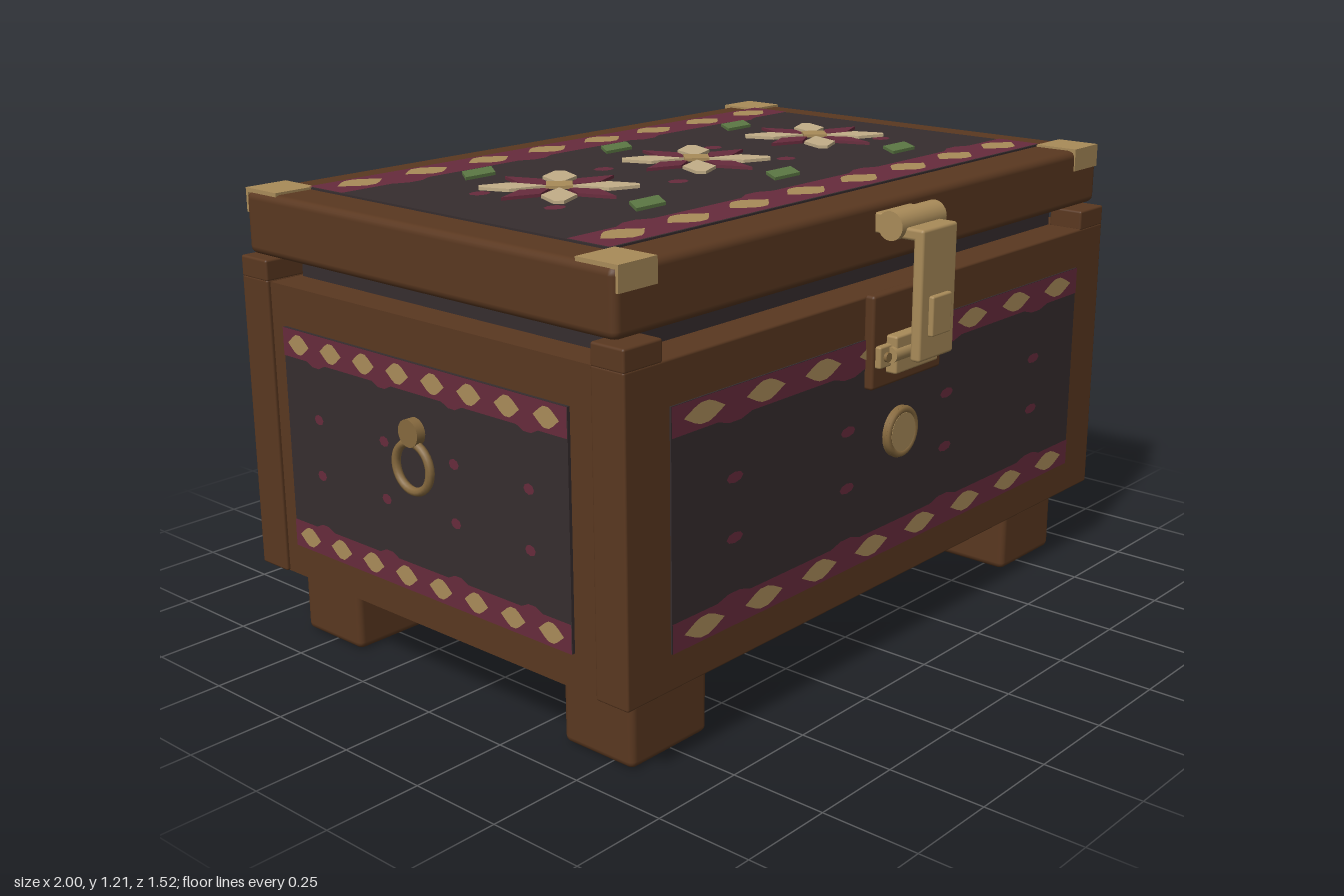
import * as THREE from 'three';
import { RoundedBoxGeometry } from 'three/addons/geometries/RoundedBoxGeometry.js';

const mat = (name, color, side = THREE.FrontSide) => {
  const m = new THREE.MeshStandardMaterial({ color, side });
  m.name = name;
  return m;
};

export function createModel() {
  const wood = mat('wood', 0x5a3820);
  const charcoal = mat('charcoal', 0x362d2e);
  const maroon = mat('maroon', 0x672b3c);
  const brass = mat('brass', 0xa98b59);
  const darkBrass = mat('darkBrass', 0x86693e);
  const cream = mat('cream', 0xc2ae88);
  const green = mat('green', 0x5c7844);

  const model = new THREE.Group();
  model.name = 'chest';

  const add = (name, geo, material, parent = model) => {
    const mesh = new THREE.Mesh(geo, material);
    mesh.name = name;
    parent.add(mesh);
    return mesh;
  };
  // Box given by its limits on each axis, with optional rounded edges
  const box = (name, material, [x0, x1], [y0, y1], [z0, z1], r = 0) => {
    const s = [x1 - x0, y1 - y0, z1 - z0];
    const geo = r ? new RoundedBoxGeometry(...s, 2, r) : new THREE.BoxGeometry(...s);
    const mesh = add(name, geo, material);
    mesh.position.set((x0 + x1) / 2, (y0 + y1) / 2, (z0 + z1) / 2);
    return mesh;
  };
  const cylinder = (name, material, r, len, axis, x, y, z) => {
    const geo = new THREE.CylinderGeometry(r, r, len, 24);
    if (axis === 'x') geo.rotateZ(Math.PI / 2);
    if (axis === 'z') geo.rotateX(Math.PI / 2);
    const mesh = add(name, geo, material);
    mesh.position.set(x, y, z);
    return mesh;
  };
  const shape = pts => new THREE.Shape(pts.map(p => new THREE.Vector2(...p)));

  // Feet and base
  for (const x of [[-0.89, -0.63], [0.655, 0.91]])
    for (const z of [[0.348, 0.568], [-0.613, -0.393]])
      box('foot', wood, x, [0, 0.168], z, 0.018);
  box('base', wood, [-0.885, 0.905], [0.165, 0.21], [-0.58, 0.565]);

  // Body walls, corner caps and inner rim
  box('frontWall', wood, [-0.97, 0.99], [0.197, 0.97], [0.535, 0.633], 0.006);
  box('backWall', wood, [-0.97, 0.99], [0.197, 0.97], [-0.678, -0.576], 0.006);
  box('sideWalls', wood, [-0.96, 0.98], [0.197, 0.965], [-0.58, 0.54]);
  box('innerRim', charcoal, [-0.87, 0.89], [0.9, 1.012], [-0.564, 0.52]);
  for (const x of [[-0.97, -0.85], [0.87, 0.99]])
    for (const z of [[0.535, 0.633], [-0.678, -0.576]])
      box('cornerCap', wood, x, [0.965, 1.02], z, 0.006);

  // Lid with brass corners
  box('lid', wood, [-0.965, 0.99], [1.027, 1.185], [-0.65, 0.605], 0.02);
  for (const x of [[-0.957, -0.837], [0.863, 0.983]])
    for (const [z, face] of [[[0.485, 0.608], [0.6, 0.608]], [[-0.655, -0.535], [-0.655, -0.647]]]) {
      box('lidCornerTop', brass, x, [1.18, 1.191], z);
      box('lidCornerFace', brass, x, [1.13, 1.191], face);
    }

  // Painted panel, drawn in a unit square and scaled to size
  const edge = [[-0.5, -0.5], [0.5, -0.5], [0.5, -0.375]];
  for (const c of [0.375, 0.125, -0.125, -0.375])
    edge.push([c + 0.035, -0.375], [c + 0.012, -0.356], [c - 0.012, -0.356], [c - 0.035, -0.375]);
  edge.push([-0.5, -0.375]);
  const borderGeo = new THREE.ShapeGeometry(shape(edge));
  const lozengeGeo = new THREE.ShapeGeometry(shape(
    [[1, 0], [0.5, 0.7], [0.2, 1], [-0.2, 1], [-0.5, 0.7], [-1, 0], [-0.5, -0.7], [-0.2, -1], [0.2, -1], [0.5, -0.7]]));
  const dotGeo = new THREE.CircleGeometry(1, 8);

  const panel = (name, w, h, pos, rot) => {
    const g = new THREE.Group();
    g.name = name;
    g.position.set(...pos);
    g.rotation.set(...rot);
    g.scale.set(w, h, 1);
    model.add(g);
    add('field', new THREE.BoxGeometry(1, 1, 0.008), charcoal, g).position.z = -0.004;
    for (const s of [-1, 1]) {
      const border = add('border', borderGeo, maroon, g);
      border.position.z = 0.002;
      if (s > 0) border.rotation.z = Math.PI;
      for (let i = 0; i < 8; i++) {
        const loz = add('lozenge', lozengeGeo, brass, g);
        loz.position.set((i - 3.5) / 8, s * 0.438, 0.004);
        loz.scale.set(0.041, 0.043, 1);
      }
      for (let i = 0; i < 4; i++) {
        const dot = add('dot', dotGeo, maroon, g);
        dot.position.set((i - 1.5) / 4, s * 0.126, 0.002);
        dot.scale.set(0.017, 0.023, 1);
      }
    }
  };
  const H = Math.PI / 2;
  panel('frontPanel', 1.685, 0.575, [0.012, 0.577, 0.637], [0, 0, 0]);
  panel('backPanel', 1.685, 0.575, [0.012, 0.577, -0.682], [0, Math.PI, 0]);
  panel('rightPanel', 0.985, 0.575, [0.995, 0.577, -0.022], [0, H, 0]);
  panel('leftPanel', 0.985, 0.575, [-0.975, 0.577, -0.022], [0, -H, 0]);
  panel('lidPanel', 1.725, 1.025, [0.012, 1.19, -0.03], [-H, 0, 0]);

  // Raised flowers and leaves on the lid
  const plate = pts => new THREE.ExtrudeGeometry(shape(pts), { depth: 0.008, bevelEnabled: false }).rotateX(-H);
  const petalGeo = plate([[0.03, 0], [0.1, -0.037], [0.192, 0], [0.1, 0.037]]);
  const creamGeo = plate([[0.03, 0], [0.12, -0.043], [0.195, -0.012], [0.195, 0.012], [0.12, 0.043]]);
  const centreGeo = plate([[0.046, 0], [0, 0.046], [-0.046, 0], [0, -0.046]]);
  const leafGeo = plate([[-0.075, -0.036], [0.025, -0.036], [0.075, 0.034], [-0.025, 0.034]]);
  for (const x of [-0.492, 0.012, 0.517]) {
    const flower = new THREE.Group();
    flower.name = 'flower';
    flower.position.set(x, 1.198, -0.03);
    model.add(flower);
    for (let i = 0; i < 4; i++) {
      add('petal', petalGeo, maroon, flower).rotation.y = i * H;
      const p = add('creamPetal', creamGeo, cream, flower);
      p.rotation.y = (i + 0.5) * H;
      p.position.y = 0.002;
    }
    add('flowerCentre', centreGeo, brass, flower).position.y = 0.006;
    for (const z of [-0.29, 0.29]) add('leaf', leafGeo, green, flower).position.z = z;
  }

  // Latch: backing block, catch, hasp and barrel
  box('latchBacking', wood, [-0.135, 0.157], [0.74, 0.975], [0.63, 0.66], 0.008);
  box('catch', brass, [-0.08, 0.1], [0.775, 0.87], [0.655, 0.69], 0.006);
  for (const x of [-0.1, 0.122]) {
    box('catchEar', brass, [x - 0.025, x + 0.025], [0.795, 0.85], [0.655, 0.675], 0.005);
    cylinder('rivet', darkBrass, 0.012, 0.012, 'z', x, 0.822, 0.677);
  }
  cylinder('catchPin', brass, 0.02, 0.2, 'x', 0.011, 0.825, 0.678);
  box('hasp', brass, [-0.063, 0.083], [0.81, 1.13], [0.715, 0.744], 0.008);
  box('haspButton', brass, [-0.03, 0.05], [0.87, 0.97], [0.74, 0.757], 0.005);
  box('haspTop', brass, [-0.063, 0.083], [1.105, 1.135], [0.66, 0.744], 0.008);
  box('haspLeaf', brass, [-0.063, 0.083], [1.11, 1.16], [0.595, 0.66], 0.005);
  cylinder('haspBarrel', brass, 0.036, 0.185, 'x', 0.012, 1.137, 0.66);

  // Round escutcheon on the front
  cylinder('escutcheon', darkBrass, 0.066, 0.02, 'z', 0.012, 0.6, 0.64);
  cylinder('escutcheonFace', brass, 0.05, 0.016, 'z', 0.012, 0.6, 0.647);
  add('escutcheonRim', new THREE.TorusGeometry(0.057, 0.01, 8, 32), darkBrass).position.set(0.012, 0.6, 0.647);

  // Ring pull on one side
  const ring = add('ringPull', new THREE.TorusGeometry(0.06, 0.011, 8, 32), darkBrass);
  ring.position.set(-0.988, 0.615, -0.03);
  ring.rotation.y = H;
  cylinder('ringMount', darkBrass, 0.034, 0.025, 'x', -0.987, 0.7, -0.03);

  // Hinges
  for (const x of [-0.58, 0.607]) {
    cylinder('hingeBarrel', brass, 0.039, 0.214, 'x', x, 1.02, -0.722);
    box('hingeLidLeaf', brass, [x - 0.07, x + 0.07], [1.02, 1.11], [-0.73, -0.645]);
    box('hingeBodyLeaf', brass, [x - 0.08, x + 0.08], [0.785, 1.0], [-0.705, -0.675]);
    box('hingeKnuckle', brass, [x - 0.08, x + 0.08], [0.96, 1.02], [-0.722, -0.67]);
  }
  return model;
}
